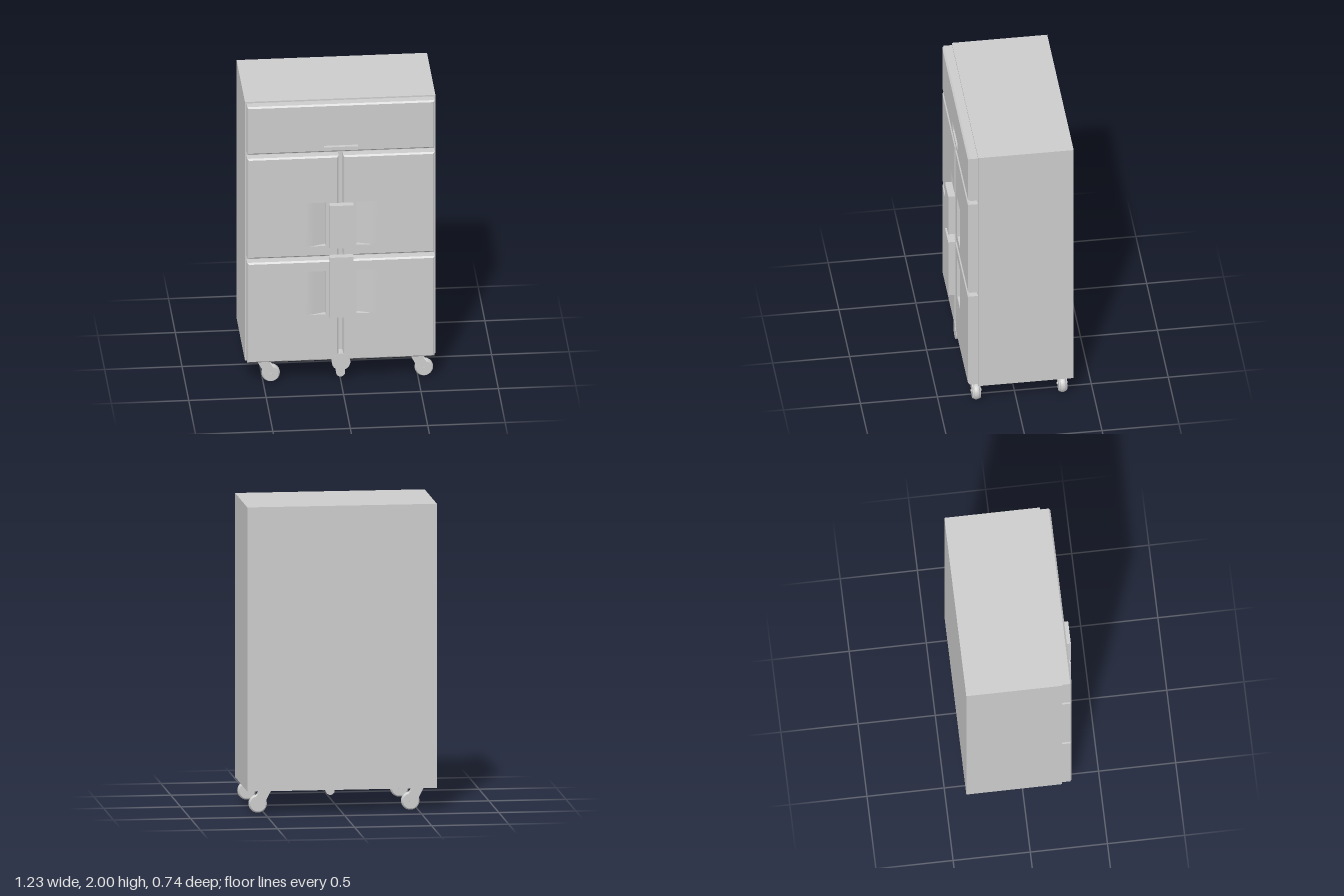
import * as THREE from 'three';

const GREY = new THREE.MeshStandardMaterial({ color: 0xcccccc });
const THIN = new THREE.MeshStandardMaterial({ color: 0xcccccc, side: THREE.DoubleSide });
const FRONT = 0.315; // z of the door faces
const BACK = 0.25; // z of the cabinet front

function add(parent, name, geometry, x = 0, y = 0, z = 0, material = GREY) {
  const mesh = new THREE.Mesh(geometry, material);
  mesh.name = name;
  mesh.position.set(x, y, z);
  parent.add(mesh);
  return mesh;
}

function addBox(parent, name, x0, x1, y0, y1, z0, z1) {
  return add(parent, name, new THREE.BoxGeometry(x1 - x0, y1 - y0, z1 - z0),
    (x0 + x1) / 2, (y0 + y1) / 2, (z0 + z1) / 2);
}

const corners = (r, inset = 0) => [
  [r.x0 + inset, r.y0 + inset], [r.x1 - inset, r.y0 + inset],
  [r.x1 - inset, r.y1 - inset], [r.x0 + inset, r.y1 - inset],
];
const toPoints = (list) => list.map(([x, y]) => new THREE.Vector2(x, y));

// Flat-sided skin through rectangular rings given as [inset, z]
function skin(rect, rings) {
  const pos = [];
  for (let k = 0; k < rings.length - 1; k++) {
    const a = corners(rect, rings[k][0]).map((p) => [...p, rings[k][1]]);
    const b = corners(rect, rings[k + 1][0]).map((p) => [...p, rings[k + 1][1]]);
    for (let i = 0; i < 4; i++) {
      const j = (i + 1) % 4;
      pos.push(...a[i], ...a[j], ...b[j], ...a[i], ...b[j], ...b[i]);
    }
  }
  const g = new THREE.BufferGeometry();
  g.setAttribute('position', new THREE.Float32BufferAttribute(pos, 3));
  g.computeVertexNormals();
  return g;
}

// Chamfered front panel with a rectangular opening for its grip
function addPanel(parent, name, rect, hole) {
  const panel = new THREE.Group();
  panel.name = name;
  parent.add(panel);
  add(panel, name + 'Edge', skin(rect, [[0, BACK], [0, FRONT - 0.01], [0.01, FRONT]]));
  const face = new THREE.Shape(toPoints(corners(rect, 0.01)));
  face.holes.push(new THREE.Path(toPoints(corners(hole))));
  add(panel, name + 'Face', new THREE.ShapeGeometry(face), 0, 0, FRONT);
  return panel;
}

// Depth of the scooped grip: a straight ramp that eases out into the door face
const IN = 0.1, OUT = 0.235, EASE = 0.17, SLOPE = 0.35;
function scoopDepth(x) {
  const tail = OUT - EASE;
  if (x > EASE) return (-SLOPE * (OUT - x) ** 2) / (2 * tail);
  return -SLOPE * (tail / 2 + EASE - x);
}

function addScoop(parent, side, y0, y1) {
  const h = y1 - y0, mid = (y0 + y1) / 2;
  const floor = new THREE.PlaneGeometry(OUT - IN, h, 16, 1);
  floor.translate((side * (IN + OUT)) / 2, 0, 0);
  const p = floor.attributes.position;
  for (let i = 0; i < p.count; i++) p.setZ(i, scoopDepth(Math.abs(p.getX(i))));
  floor.computeVertexNormals();
  add(parent, 'gripFloor', floor, 0, mid, FRONT, THIN);

  // Upper and lower walls follow the ramp
  const outline = [[side * IN, 0]];
  for (let i = 0; i <= 16; i++) {
    const x = IN + ((OUT - IN) * i) / 16;
    outline.push([side * x, scoopDepth(x)]);
  }
  const wall = new THREE.ShapeGeometry(new THREE.Shape(toPoints(outline))).rotateX(Math.PI / 2);
  for (const y of [y0, y1]) add(parent, 'gripEnd', wall, 0, y, FRONT, THIN);
  const d = -scoopDepth(IN);
  const inner = new THREE.PlaneGeometry(d, h).rotateY((side * Math.PI) / 2);
  add(parent, 'gripInnerWall', inner, side * IN, mid, FRONT - d / 2, THIN);
}

// Swivel caster, origin at the wheel centre
function makeCaster() {
  const caster = new THREE.Group();
  caster.name = 'caster';
  const R = 0.06;
  const profile = toPoints([[0, -0.02], [0.046, -0.02], [0.054, -0.018], [0.059, -0.011],
    [R, 0], [0.059, 0.011], [0.054, 0.018], [0.046, 0.02], [0, 0.02]]);
  add(caster, 'wheel', new THREE.LatheGeometry(profile, 32).rotateX(Math.PI / 2));
  const arm = new THREE.Shape(toPoints([[-0.085, 0.088], [-0.05, 0.02], [0, -0.01],
    [0.02, 0.04], [-0.02, 0.088]]));
  const plate = new THREE.ExtrudeGeometry(arm, { depth: 0.008, bevelEnabled: false });
  for (const s of [-1, 1]) {
    add(caster, 'forkPlate', plate, 0, 0, s * 0.024 - 0.004);
    add(caster, 'wheelCover', new THREE.CylinderGeometry(0.05, 0.055, 0.007, 32)
      .rotateX((s * Math.PI) / 2), 0, 0, s * 0.0235);
  }
  const crown = new THREE.Shape(toPoints([[-0.085, 0.088], [-0.065, 0.05], [-0.01, 0.07], [-0.02, 0.088]]));
  add(caster, 'forkCrown', new THREE.ExtrudeGeometry(crown, { depth: 0.04, bevelEnabled: false }), 0, 0, -0.02);
  add(caster, 'axle', new THREE.CylinderGeometry(0.008, 0.008, 0.07, 16).rotateX(Math.PI / 2));
  return caster;
}

export function createModel() {
  const model = new THREE.Group();
  model.name = 'cabinet';

  addBox(model, 'body', -0.615, 0.615, 0.15, 2, -0.37, BACK);

  // Top drawer with a shallow slot
  const slot = { x0: -0.11, x1: 0.11, y0: 1.685, y1: 1.745 };
  const drawer = addPanel(model, 'drawer', { x0: -0.605, x1: 0.605, y0: 1.65, y1: 1.99 }, slot);
  add(drawer, 'slotWalls', skin(slot, [[0, FRONT], [0, FRONT - 0.025]]));
  add(drawer, 'slotBack', new THREE.PlaneGeometry(0.22, 0.06), 0, 1.715, FRONT - 0.025);

  // Two pairs of doors: [bottom, top, grip bottom, grip top]
  for (const [y0, y1, g0, g1] of [[0.905, 1.62, 0.98, 1.29], [0.16, 0.875, 0.49, 0.8]]) {
    for (const s of [-1, 1]) {
      const span = (a, b) => ({ x0: Math.min(s * a, s * b), x1: Math.max(s * a, s * b) });
      const door = addPanel(model, s > 0 ? 'leftDoor' : 'rightDoor',
        { ...span(0.015, 0.605), y0, y1 }, { ...span(IN, OUT), y0: g0, y1: g1 });
      addScoop(door, s, g0, g1);
    }
  }

  // Central lock plates standing just clear of the doors
  addBox(model, 'upperLockPlate', -0.077, 0.077, 0.985, 1.29, 0.325, 0.37);
  addBox(model, 'lowerLockPlate', -0.077, 0.077, 0.49, 0.92, 0.325, 0.37);

  // Four casters, all swivelled the same way
  for (const x of [-0.45, 0.54]) {
    for (const z of [0.255, -0.305]) {
      const caster = makeCaster();
      caster.position.set(x, 0.062, z);
      model.add(caster);
    }
  }

  // Foot pedal under the front centre
  add(model, 'pedalDrum', new THREE.CylinderGeometry(0.06, 0.06, 0.122, 32).rotateX(Math.PI / 2), 0, 0.147, 0.257);
  const peg = new THREE.Shape();
  peg.moveTo(0.029, 0.11);
  peg.lineTo(-0.029, 0.11);
  peg.lineTo(-0.029, 0.054);
  peg.absarc(0, 0.054, 0.029, Math.PI, 2 * Math.PI, false);
  peg.closePath();
  add(model, 'pedalPeg', new THREE.ExtrudeGeometry(peg, { depth: 0.05, bevelEnabled: false }), 0, 0, 0.232);

  return model;
}
